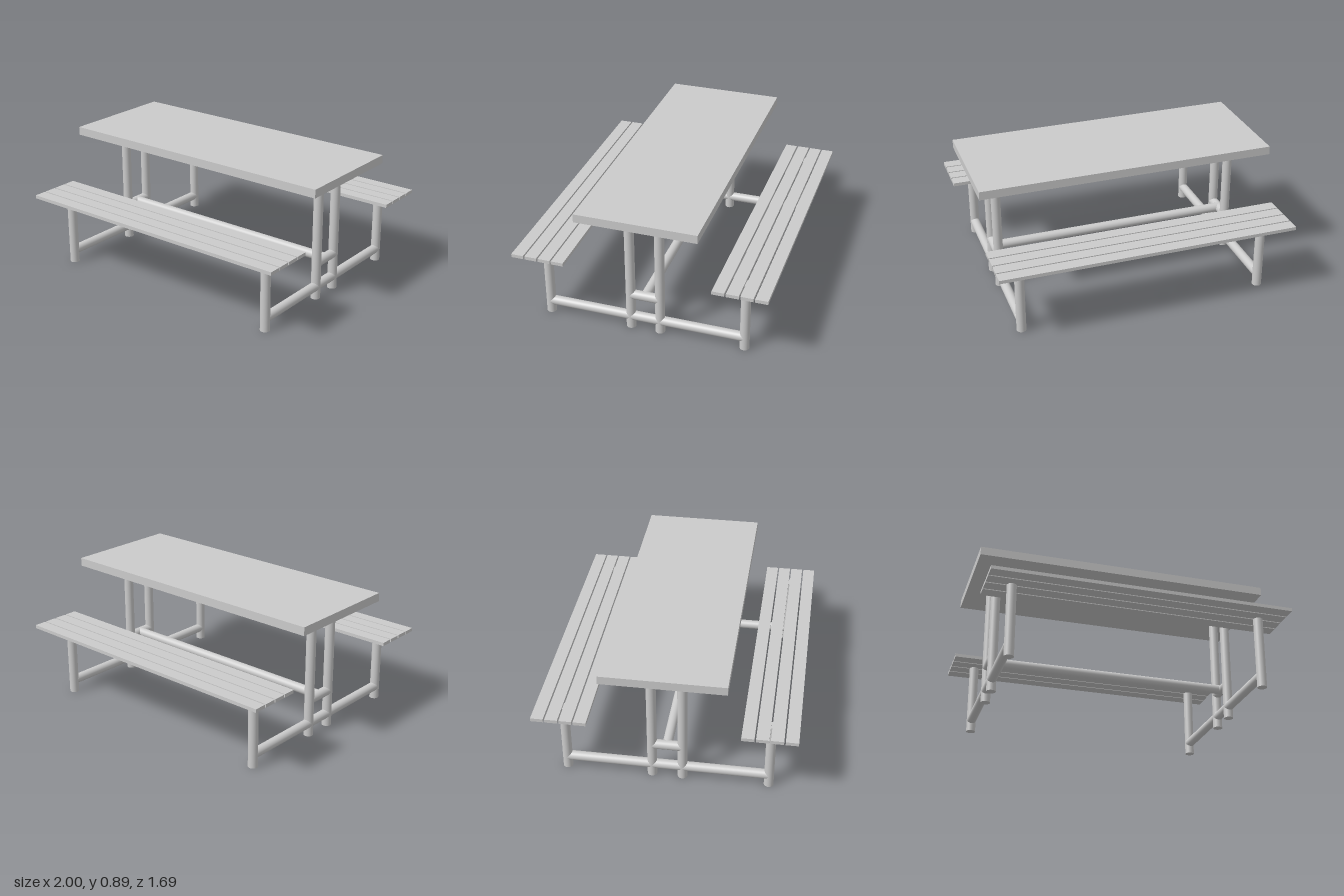
import * as THREE from 'three';

const material = new THREE.MeshStandardMaterial({ color: 0xcccccc });
const R = 0.032; // pipe radius

function board(name, w, h, d, y, z) {
  const mesh = new THREE.Mesh(new THREE.BoxGeometry(w, h, d), material);
  mesh.name = name;
  mesh.position.set(0, y, z);
  return mesh;
}

// Round pipe running between two points
function pipe(name, from, to) {
  const a = new THREE.Vector3(...from), b = new THREE.Vector3(...to);
  const dir = b.clone().sub(a);
  const mesh = new THREE.Mesh(new THREE.CylinderGeometry(R, R, dir.length(), 32), material);
  mesh.name = name;
  mesh.position.copy(a).add(b).multiplyScalar(0.5);
  mesh.quaternion.setFromUnitVectors(new THREE.Vector3(0, 1, 0), dir.normalize());
  return mesh;
}

export function createModel() {
  const model = new THREE.Group();
  model.name = 'picnicTable';

  model.add(board('tableTop', 2, 0.057, 0.8, 0.8665, 0));

  // Two slatted benches
  for (const side of [1, -1]) {
    const bench = new THREE.Group();
    bench.name = side > 0 ? 'frontBench' : 'backBench';
    for (let i = 0; i < 4; i++) {
      bench.add(board('benchSlat', 2, 0.023, 0.082, 0.502, side * (0.53 + i * 0.0915)));
    }
    model.add(bench);
  }

  // Pipe frame at each end
  const legX = 0.834, tableZ = 0.1, benchZ = 0.668, footY = 0.085, railY = 0.253;
  for (const side of [1, -1]) {
    const x = side * legX;
    const frame = new THREE.Group();
    frame.name = side > 0 ? 'leftFrame' : 'rightFrame';
    for (const s of [1, -1]) {
      frame.add(pipe('tableLeg', [x, 0, s * tableZ], [x, 0.84, s * tableZ]));
      frame.add(pipe('benchLeg', [x, 0, s * benchZ], [x, 0.5, s * benchZ]));
    }
    frame.add(pipe('footRail', [x, footY, -benchZ], [x, footY, benchZ]));
    frame.add(pipe('legTie', [x, railY, -tableZ], [x, railY, tableZ]));
    model.add(frame);
  }

  // Long rail joining the two end frames
  model.add(pipe('longRail', [-legX, railY, 0], [legX, railY, 0]));

  return model;
}
